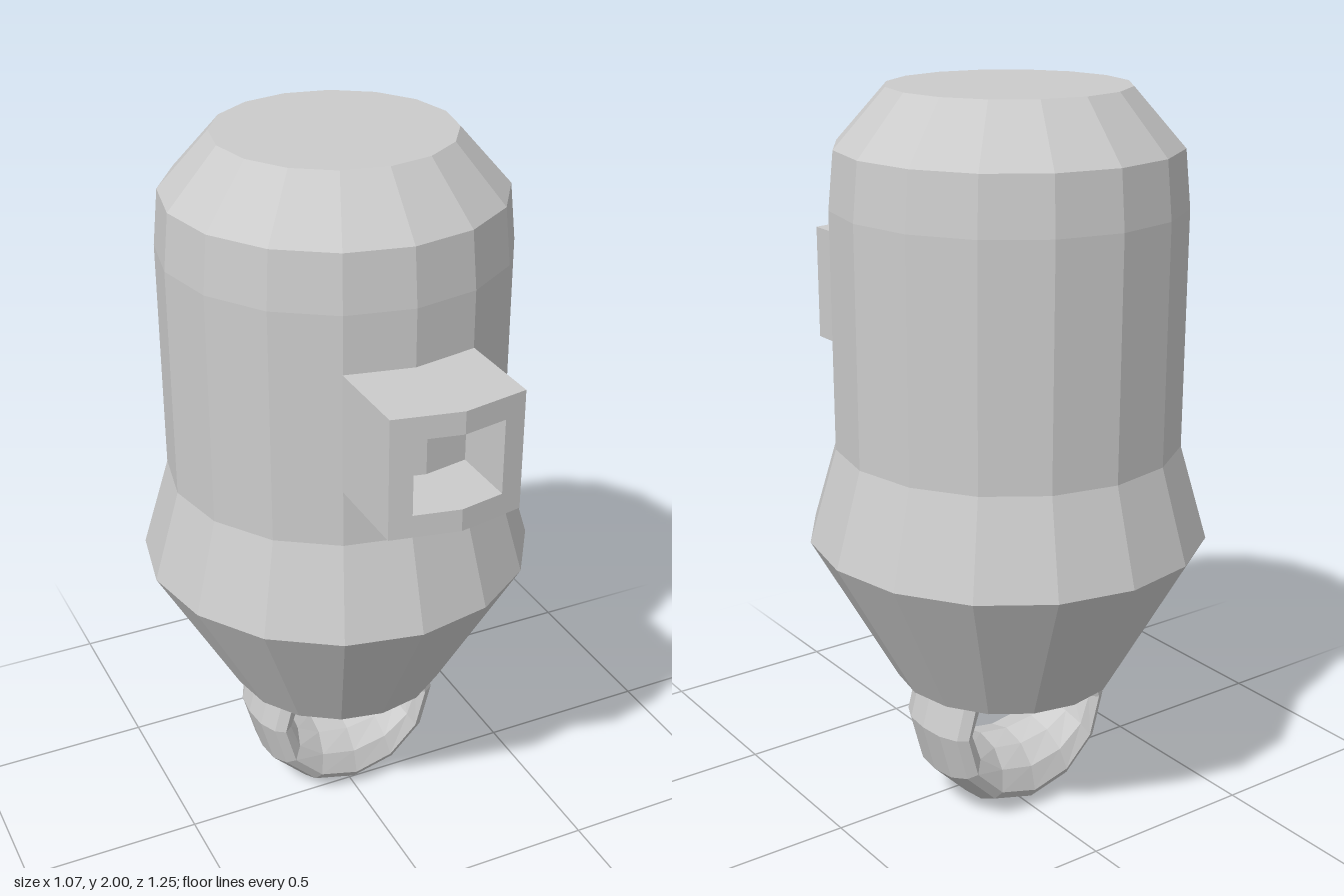
import * as THREE from 'three';

const AXIS_Z = -0.088;
const material = new THREE.MeshStandardMaterial({ color: 0xcccccc, flatShading: true });

function addMesh(parent, name, geometry) {
  const mesh = new THREE.Mesh(geometry, material);
  mesh.name = name;
  parent.add(mesh);
  return mesh;
}

// Extrudes a front outline and slopes it back on both sides of x = 0
function chevronSlab(points, back, front) {
  const shape = new THREE.Shape(points.map(([x, y]) => new THREE.Vector2(x, y)));
  const geometry = new THREE.ExtrudeGeometry(shape, { depth: front - back, bevelEnabled: false });
  const pos = geometry.attributes.position;
  for (let i = 0; i < pos.count; i++) {
    pos.setZ(i, pos.getZ(i) + back - 0.199 * Math.abs(pos.getX(i)));
  }
  geometry.computeVertexNormals();
  return geometry;
}

// Ring whose section runs from a round outside to an oval opening
function ringGeometry() {
  const sides = 12, rim = 0.225;
  const outer = [[0.138, 0.225], [0.12, 0.252], [0.07, 0.275], [0, 0.282], [-0.07, 0.275], [-0.12, 0.252], [-0.138, 0.225]];
  const inner = [[-0.12, 0.5], [-0.07, 0.87], [0, 1], [0.07, 0.87], [0.12, 0.5]];
  const n = outer.length + inner.length;
  const positions = [], index = [];
  for (let i = 0; i < sides; i++) {
    const a = (i / sides) * Math.PI * 2;
    const c = Math.cos(a), s = Math.sin(a);
    for (const [z, r] of outer) positions.push(r * c, r * s, z);
    for (const [z, f] of inner) {
      positions.push(THREE.MathUtils.lerp(rim, 0.178, f) * c, THREE.MathUtils.lerp(rim, 0.09, f) * s, z);
    }
    const next = (i + 1) % sides;
    for (let j = 0; j < n; j++) {
      const k = (j + 1) % n;
      const p = i * n + j, q = i * n + k, u = next * n + j, v = next * n + k;
      index.push(p, q, u, u, q, v);
    }
  }
  const indexed = new THREE.BufferGeometry();
  indexed.setAttribute('position', new THREE.Float32BufferAttribute(positions, 3));
  indexed.setIndex(index);
  const geometry = indexed.toNonIndexed();
  geometry.computeVertexNormals();
  return geometry;
}

export function createModel() {
  const model = new THREE.Group();
  model.name = 'capsule';

  // Sixteen-sided body with a flared skirt and closed ends
  const profile = [
    [0, 0.4], [0.307, 0.4], [0.537, 0.815], [0.462, 1.07],
    [0.462, 1.7], [0.447, 1.85], [0.313, 2], [0, 2],
  ].map(([r, y]) => new THREE.Vector2(r, y));
  addMesh(model, 'body', new THREE.LatheGeometry(profile, 16)).position.z = AXIS_Z;

  // Hanging ring below the body
  addMesh(model, 'ring', ringGeometry()).position.set(0, 0.286, AXIS_Z);

  // Front socket: two mirrored frame halves around a recess
  const socket = new THREE.Group();
  socket.name = 'socket';
  socket.position.y = 1.387;
  model.add(socket);
  for (const s of [-1, 1]) {
    const side = s > 0 ? 'left' : 'right';
    const frame = [
      [0, -0.16], [0.178, -0.16], [0.178, 0.16], [0, 0.16],
      [0, 0.1], [0.12, 0.1], [0.12, -0.1], [0, -0.1],
    ].map(([x, y]) => [x * s, y]);
    const floor = [[0, -0.1], [0.12, -0.1], [0.12, 0.1], [0, 0.1]].map(([x, y]) => [x * s, y]);
    addMesh(socket, side + 'SocketFrame', chevronSlab(frame, 0.33, 0.625));
    addMesh(socket, side + 'SocketFloor', chevronSlab(floor, 0.33, 0.44));
  }
  return model;
}
